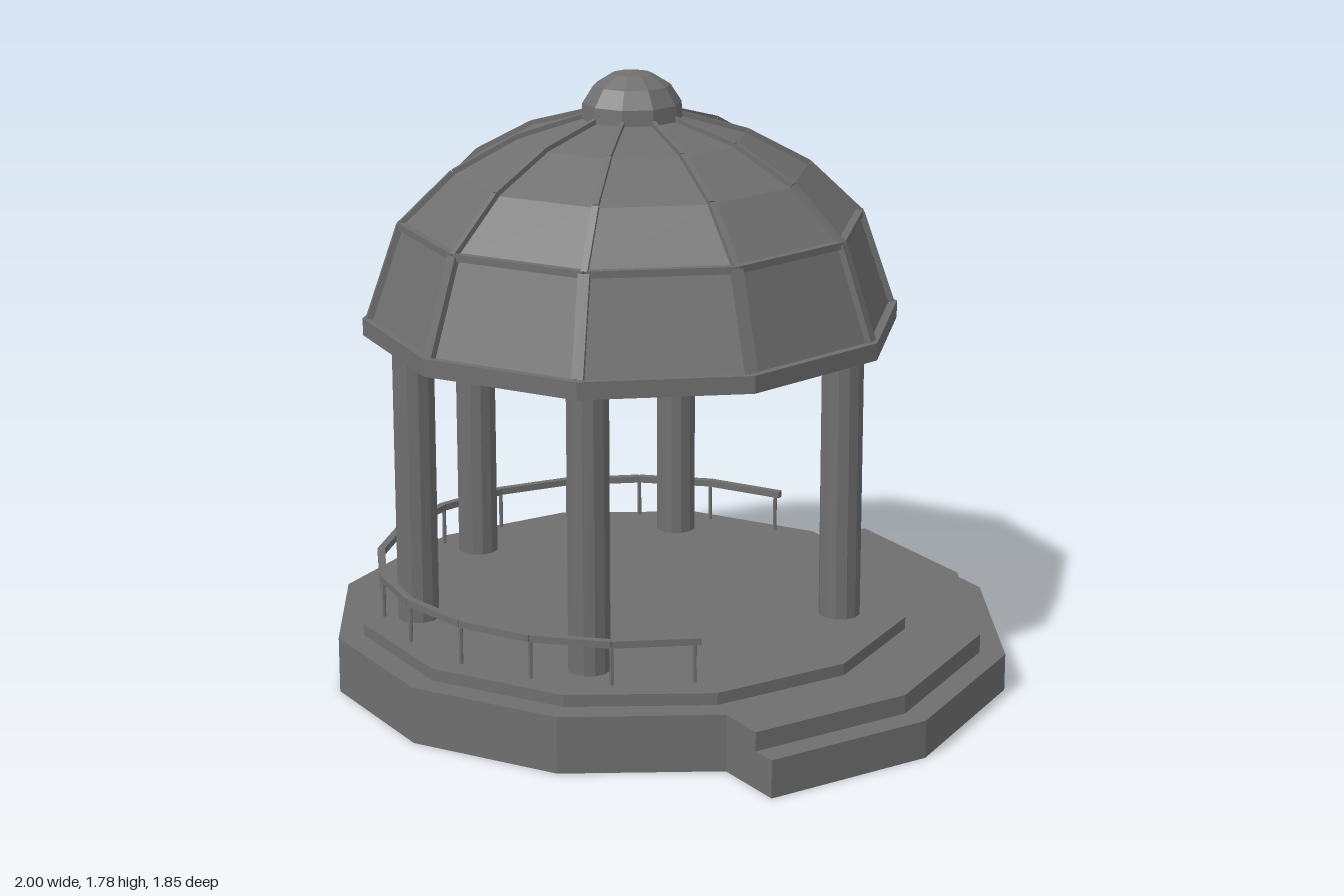
import * as THREE from 'three';

const CX = -0.11; // axis of the round pavilion
const RAD = Math.PI / 180;
const mat = new THREE.MeshStandardMaterial({ color: 0x6f6f6f, flatShading: true, side: THREE.DoubleSide });

const polar = (r, deg) => [r * Math.cos(deg * RAD), r * Math.sin(deg * RAD)];
const point = (r, deg, y) => { const [x, z] = polar(r, deg); return new THREE.Vector3(x, y, z); };

// Flat-shaded skin through stacked loops of [x, z] points; levels are [loop, y]
function skin(levels) {
  const pos = [];
  for (let l = 0; l + 1 < levels.length; l++) {
    const [a, ya] = levels[l], [b, yb] = levels[l + 1], n = a.length;
    for (let i = 0; i < n; i++) {
      const j = (i + 1) % n;
      const p = [a[i][0], ya, a[i][1]], q = [a[j][0], ya, a[j][1]];
      const r = [b[i][0], yb, b[i][1]], s = [b[j][0], yb, b[j][1]];
      pos.push(...p, ...r, ...q, ...q, ...r, ...s);
    }
  }
  const g = new THREE.BufferGeometry();
  g.setAttribute('position', new THREE.Float32BufferAttribute(pos, 3));
  g.computeVertexNormals();
  return g;
}

// Twelve-sided outline whose +x third bulges out to the steps
function outline(r, rStep, endR, endDeg) {
  const loop = [polar(r, -60), polar(endR, -endDeg)];
  for (const d of [-30, 0, 30]) loop.push(polar(rStep, d));
  loop.push(polar(endR, endDeg), polar(r, 60));
  for (let d = 90; d <= 270; d += 30) loop.push(polar(r, d));
  return loop;
}

// Ten-sided dome ring
const DOME_TURN = 15.5, SIDES = 10;
const ring = (r) => Array.from({ length: SIDES }, (_, i) => polar(r, DOME_TURN + i * 360 / SIDES));

// Rectangular bar between two points, its depth pointing away from the axis
function bar(a, b, width, depth) {
  const dir = b.clone().sub(a), len = dir.length();
  dir.normalize();
  const mid = a.clone().add(b).multiplyScalar(0.5);
  const out = new THREE.Vector3(mid.x, 0, mid.z);
  out.addScaledVector(dir, -out.dot(dir)).normalize();
  const side = new THREE.Vector3().crossVectors(dir, out);
  const m = new THREE.Matrix4().makeBasis(side, dir, out).setPosition(mid);
  return new THREE.BoxGeometry(width, len, depth).applyMatrix4(m);
}

export function createModel() {
  const model = new THREE.Group();
  model.name = 'gardenPavilion';
  const body = new THREE.Group();
  body.name = 'pavilion';
  body.position.x = CX;
  model.add(body);

  const group = (name) => {
    const g = new THREE.Group();
    g.name = name;
    body.add(g);
    return g;
  };
  const add = (parent, geo, name) => {
    const m = new THREE.Mesh(geo, mat);
    m.name = name;
    parent.add(m);
    return m;
  };

  // Plinth with steps and raised floor, open underneath
  const lower = outline(0.89, 1.11, 1.103, 56.9);
  const upper = outline(0.89, 1.035, 1.031, 57.9);
  const floor = outline(0.815, 0.815, 0.815, 60);
  const centre = outline(0, 0, 0, 60);
  add(body, skin([[lower, 0], [lower, 0.11], [upper, 0.11], [upper, 0.165], [floor, 0.165]]), 'plinthAndSteps');
  add(body, skin([[floor, 0.165], [floor, 0.2], [centre, 0.2]]), 'floor');

  // Columns
  const columns = group('columns');
  for (const [x, z] of [[0.62, 0.005], [0.02, 0.607], [-0.57, 0.308], [-0.57, -0.31], [-0.02, -0.65]]) {
    const c = add(columns, new THREE.CylinderGeometry(0.061, 0.061, 0.845, 12, 1, true), 'column');
    c.position.set(x, 0.6175, z);
  }

  // Railing round the side opposite the steps, one rail length per post gap
  const railing = group('railing');
  railing.position.set(-0.015, 0, -0.02);
  const R = 0.742, START = 62.5, GAP = 17.83, POSTS = 14;
  for (let i = 0; i < POSTS; i++) {
    const a = START + GAP * i;
    add(railing, new THREE.CylinderGeometry(0.006, 0.006, 0.115, 6), 'railPost').position.copy(point(R, a, 0.255));
    if (i === POSTS - 1) continue;
    const from = i === 0 ? a - 1.5 : a;
    const to = i === POSTS - 2 ? a + GAP + 1.5 : a + GAP;
    add(railing, bar(point(R, from, 0.32), point(R, to, 0.32), 0.02, 0.022), 'handrail');
  }

  // Dome: closed rim band, faceted panels
  const roof = group('roof');
  add(roof, skin([[ring(0), 1.03], [ring(0.779), 1.03], [ring(0.779), 1.08], [ring(0.74), 1.08]]), 'domeRim');
  const profile = [[0.755, 1.08], [0.663, 1.348], [0.51, 1.495], [0.33, 1.592], [0.13, 1.65]];
  add(roof, skin(profile.map(([r, y]) => [ring(r), y])), 'domePanels');

  // Ribs along the panel corners and a hoop at the first tier
  for (let i = 0; i < SIDES; i++) {
    const a = DOME_TURN + i * 360 / SIDES, b = a + 360 / SIDES;
    for (let k = 0; k + 1 < profile.length; k++) {
      const w = k === 0 ? 0.032 : 0.022 - 0.003 * k;
      add(roof, bar(point(profile[k][0], a, profile[k][1]), point(profile[k + 1][0], a, profile[k + 1][1]), w, 0.026), 'domeRib');
    }
    add(roof, bar(point(0.663, a, 1.348), point(0.663, b, 1.348), 0.02, 0.024), 'domeHoop');
  }

  // Finial
  const cap = [[0, 1.64], [0.147, 1.64], [0.142, 1.69], [0.11, 1.74], [0.058, 1.772], [0, 1.782]];
  add(roof, skin(cap.map(([r, y]) => [ring(r), y])), 'finial');

  return model;
}
